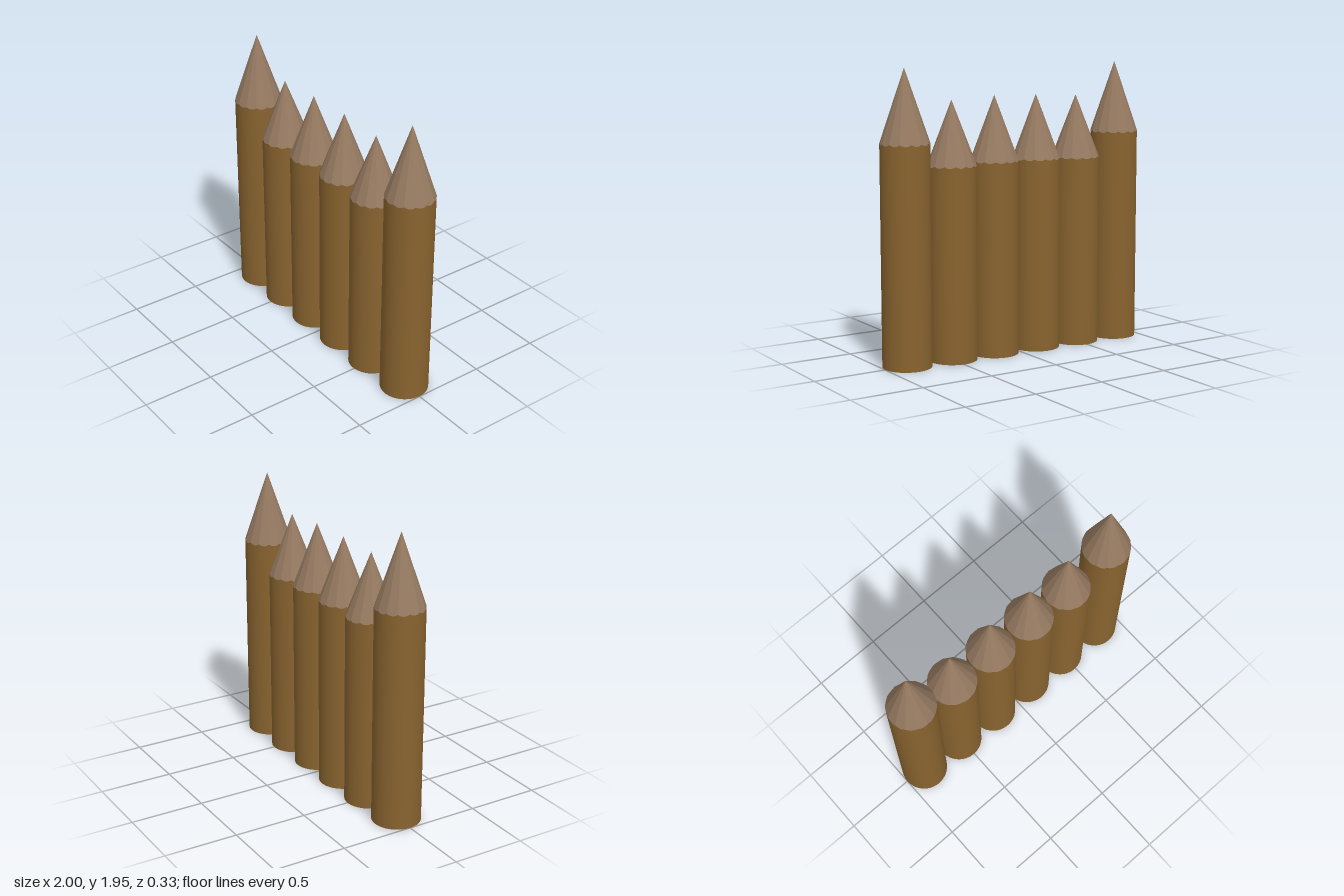
import * as THREE from 'three';

const RADIUS = 0.163;
const FACETS = 14;      // knife cuts around each point
const SEGMENTS = 56;    // sides of the round trunk

// [x, shoulder height, apex height]
const LOGS = [
  [-0.837, 1.465, 1.95],
  [-0.505, 1.302, 1.73],
  [-0.175, 1.31, 1.745],
  [0.158, 1.312, 1.75],
  [0.488, 1.3, 1.73],
  [0.835, 1.46, 1.945],
];

// Height of the scalloped rim where the flat cuts meet the round trunk
function rimHeight(x, z, shoulder, apex) {
  const step = (Math.PI * 2) / FACETS;
  const turn = Math.atan2(x, z) / step;
  const offset = (turn - Math.floor(turn + 1e-6) - 0.5) * step;
  const mean = (1 + Math.cos(step / 2)) / 2;
  return apex - (apex - shoulder) * Math.cos(offset) / mean;
}

// Move every vertex chosen by test onto the rim
function fitRim(geometry, test, shoulder, apex) {
  const p = geometry.attributes.position;
  for (let i = 0; i < p.count; i++) {
    if (test(p.getY(i))) p.setY(i, rimHeight(p.getX(i), p.getZ(i), shoulder, apex));
  }
  return geometry;
}

function createLog(shoulder, apex, bark, wood) {
  const log = new THREE.Group();
  const add = (geometry, material, name) => {
    const mesh = new THREE.Mesh(geometry, material);
    mesh.name = name;
    log.add(mesh);
  };

  // Smooth round trunk
  const trunk = new THREE.CylinderGeometry(RADIUS, RADIUS, shoulder, SEGMENTS, 1, true);
  trunk.translate(0, shoulder / 2, 0);
  add(fitRim(trunk, (y) => y > 0.5, shoulder, apex), bark, 'trunk');

  // Faceted sharpened point
  const height = apex - shoulder;
  const cone = new THREE.ConeGeometry(RADIUS, height, SEGMENTS, 1, true);
  cone.translate(0, shoulder + height / 2, 0);
  const point = fitRim(cone, (y) => y < shoulder + height / 2, shoulder, apex).toNonIndexed();
  point.computeVertexNormals();
  add(point, wood, 'sharpenedPoint');

  // Sawn underside
  const end = new THREE.CircleGeometry(RADIUS, SEGMENTS);
  end.rotateX(Math.PI / 2);
  add(end, wood, 'sawnEnd');
  return log;
}

export function createModel() {
  const bark = new THREE.MeshStandardMaterial({ color: 0x88632f });
  bark.name = 'bark brown';
  const wood = new THREE.MeshStandardMaterial({ color: 0x967a61 });
  wood.name = 'cut wood';

  const palisade = new THREE.Group();
  palisade.name = 'palisade';
  LOGS.forEach(([x, shoulder, apex], i) => {
    const log = createLog(shoulder, apex, bark, wood);
    log.name = `log${i + 1}`;
    log.position.x = x;
    log.rotation.y = i * 0.13;
    palisade.add(log);
  });
  return palisade;
}
